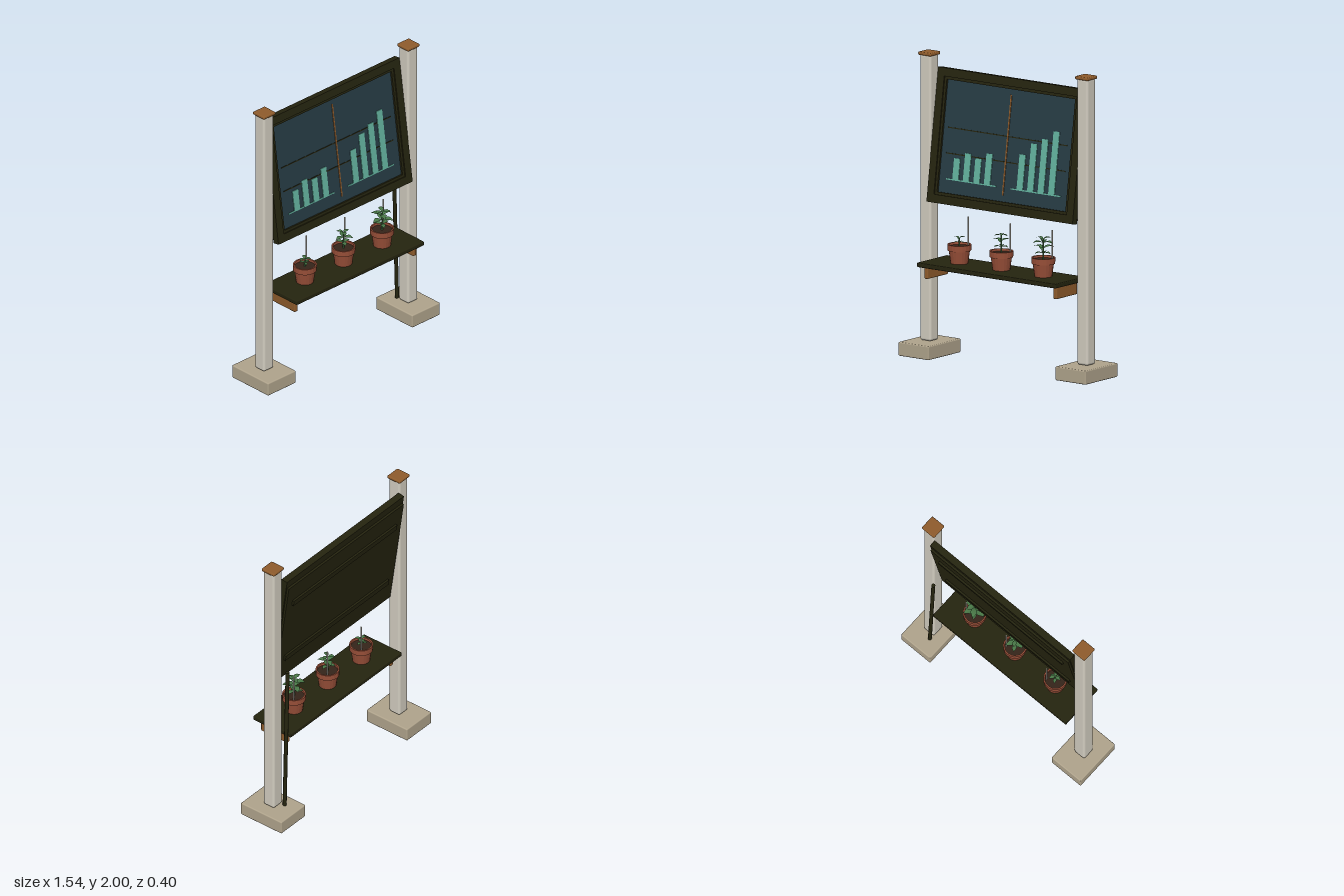
import * as THREE from 'three';
import { RoundedBoxGeometry } from 'three/addons/geometries/RoundedBoxGeometry.js';

const material = (name, color, side = THREE.FrontSide) => {
  const m = new THREE.MeshStandardMaterial({ color, side });
  m.name = name;
  return m;
};

export function createModel() {
  const model = new THREE.Group();
  model.name = 'planterDisplayBoard';

  const paint = material('palePost', 0xd2cdc0);
  const stone = material('stone', 0xb0a48c);
  const wood = material('wood', 0x8f5c2c);
  const dark = material('darkFrame', 0x25240f);
  const slate = material('slate', 0x263b44);
  const teal = material('tealChart', 0x62b09d);
  const clay = material('terracotta', 0x984f38, THREE.DoubleSide);
  const soil = material('soil', 0x35241a);
  const green = material('leafGreen', 0x4a7a48, THREE.DoubleSide);

  const add = (parent, name, geometry, mat, x = 0, y = 0, z = 0) => {
    const mesh = new THREE.Mesh(geometry, mat);
    mesh.name = name;
    mesh.position.set(x, y, z);
    parent.add(mesh);
    return mesh;
  };
  const box = (parent, name, mat, w, h, d, x, y, z) =>
    add(parent, name, new THREE.BoxGeometry(w, h, d), mat, x, y, z);
  const rounded = (parent, name, mat, w, h, d, r, x, y, z) =>
    add(parent, name, new RoundedBoxGeometry(w, h, d, 2, r), mat, x, y, z);

  // Posts, feet, caps and shelf brackets, mirrored
  for (const s of [-1, 1]) {
    rounded(model, 'foot', stone, 0.25, 0.092, 0.34, 0.008, s * 0.645, 0.046, -0.03);
    rounded(model, 'post', paint, 0.09, 1.89, 0.09, 0.016, s * 0.645, 1.04, -0.027);
    rounded(model, 'postCap', wood, 0.106, 0.022, 0.106, 0.008, s * 0.645, 1.989, -0.027);
    rounded(model, 'shelfBracket', wood, 0.03, 0.082, 0.22, 0.008, s * 0.53, 0.58, 0.045);
  }

  // Shelf
  rounded(model, 'shelf', dark, 1.14, 0.03, 0.315, 0.006, 0, 0.635, 0.042);

  // Leaning pipe behind the left post
  const foot = new THREE.Vector3(0.611, 0.095, -0.098);
  const head = new THREE.Vector3(0.581, 1.15, -0.098);
  add(model, 'pipe', new THREE.TubeGeometry(new THREE.LineCurve3(foot, head), 1, 0.013, 10), dark);
  for (const end of [foot, head]) {
    const cap = add(model, 'pipeEnd', new THREE.CircleGeometry(0.013, 10), dark, end.x, end.y, end.z);
    cap.rotation.x = end === head ? -Math.PI / 2 : Math.PI / 2;
  }

  // Tilted board: local origin is the lower front edge
  const board = new THREE.Group();
  board.name = 'board';
  board.position.set(0, 1.027, 0.06);
  board.rotation.x = -0.141;
  model.add(board);

  const ring = (name, x, y0, y1, border, depth, front) => {
    const shape = new THREE.Shape();
    shape.moveTo(-x, y0).lineTo(x, y0).lineTo(x, y1).lineTo(-x, y1).closePath();
    const [ix, a, b] = [x - border, y0 + border, y1 - border];
    const hole = new THREE.Path();
    hole.moveTo(-ix, a).lineTo(-ix, b).lineTo(ix, b).lineTo(ix, a).closePath();
    shape.holes.push(hole);
    const g = new THREE.ExtrudeGeometry(shape, { depth, bevelEnabled: false });
    add(board, name, g, dark, 0, 0, front - depth);
  };
  ring('frame', 0.6, 0, 0.88, 0.055, 0.046, 0);
  ring('innerBead', 0.545, 0.055, 0.825, 0.018, 0.03, -0.008);
  box(board, 'backBoard', dark, 1.18, 0.81, 0.016, 0, 0.42, -0.053);
  box(board, 'screen', slate, 1.09, 0.77, 0.025, 0, 0.44, -0.0335);
  for (const y of [0.19, 0.67]) {
    box(board, 'backBatten', dark, 1.06, 0.04, 0.014, 0, y, -0.068);
  }

  // Chart plates on the screen
  const plate = (name, mat, w, h, x, y, z = -0.02) => box(board, name, mat, w, h, 0.004, x, y, z);
  const toBoard = (y) => (y - 1.027) / 0.99;
  for (const y of [1.355, 1.52]) plate('gridLine', dark, 0.98, 0.007, 0, toBoard(y), -0.0205);
  plate('divider', wood, 0.01, 0.655, 0, toBoard(1.465), -0.018);
  const base = toBoard(1.19);
  const charts = [
    [-1, [1.33, 1.372, 1.35, 1.392]],
    [1, [1.42, 1.5, 1.54, 1.6]],
  ];
  for (const [s, tops] of charts) {
    plate('baseLine', teal, 0.41, 0.008, s * 0.265, base, -0.019);
    tops.forEach((top, i) => {
      const h = toBoard(top) - base;
      plate('bar', teal, 0.05, h, s * 0.264 + (i - 1.5) * 0.0865, base + h / 2, -0.018);
    });
  }

  // Pointed leaf along +x, folded at the midrib and drooping at the tip
  const leafGeometry = (length) => {
    const g = new THREE.PlaneGeometry(length, 1, 4, 2);
    g.rotateX(-Math.PI / 2);
    const p = g.attributes.position;
    const half = [0.1, 0.75, 1, 0.6, 0];
    for (let i = 0; i < p.count; i++) {
      const t = p.getX(i) / length + 0.5;
      const side = p.getZ(i) * 2;
      const w = half[Math.round(t * 4)] * length * 0.3;
      p.setXYZ(i, t * length, length * (0.45 * t - 0.4 * t * t) + Math.abs(side) * w * 0.3, side * w);
    }
    g.computeVertexNormals();
    return g;
  };

  // Potted plants, growing from right to left: [leaf height, leaf length] tiers
  const potProfile = [[0, 0], [0.057, 0], [0.069, 0.085], [0.077, 0.085], [0.078, 0.125],
    [0.068, 0.125], [0.066, 0.105]].map(([x, y]) => new THREE.Vector2(x, y));
  const plants = [
    { x: -0.345, tiers: [[0.135, 0.04], [0.165, 0.045]] },
    { x: 0, tiers: [[0.15, 0.055], [0.19, 0.066], [0.225, 0.05]] },
    { x: 0.345, tiers: [[0.15, 0.06], [0.185, 0.08], [0.22, 0.075], [0.245, 0.06]] },
  ];
  for (const { x, tiers } of plants) {
    const plant = new THREE.Group();
    plant.name = 'pottedPlant';
    plant.position.set(x, 0.65, 0.04);
    model.add(plant);
    const pot = new THREE.LatheGeometry(potProfile, 20).toNonIndexed();
    pot.computeVertexNormals();
    add(plant, 'pot', pot, clay);
    add(plant, 'soil', new THREE.CylinderGeometry(0.067, 0.066, 0.01, 20), soil, 0, 0.105, 0);
    add(plant, 'stake', new THREE.CylinderGeometry(0.005, 0.005, 0.2, 8), paint, 0.045, 0.205, -0.035);
    const top = tiers[tiers.length - 1][0];
    add(plant, 'stem', new THREE.CylinderGeometry(0.004, 0.006, top - 0.1, 6), green, 0, (top + 0.1) / 2, 0);
    tiers.forEach(([y, length], tier) => {
      for (let i = 0; i < 3; i++) {
        const leaf = add(plant, 'leaf', leafGeometry(length), green, 0, y, 0);
        leaf.rotation.y = (i * Math.PI * 2) / 3 + tier * 1.05;
      }
    });
  }

  return model;
}
